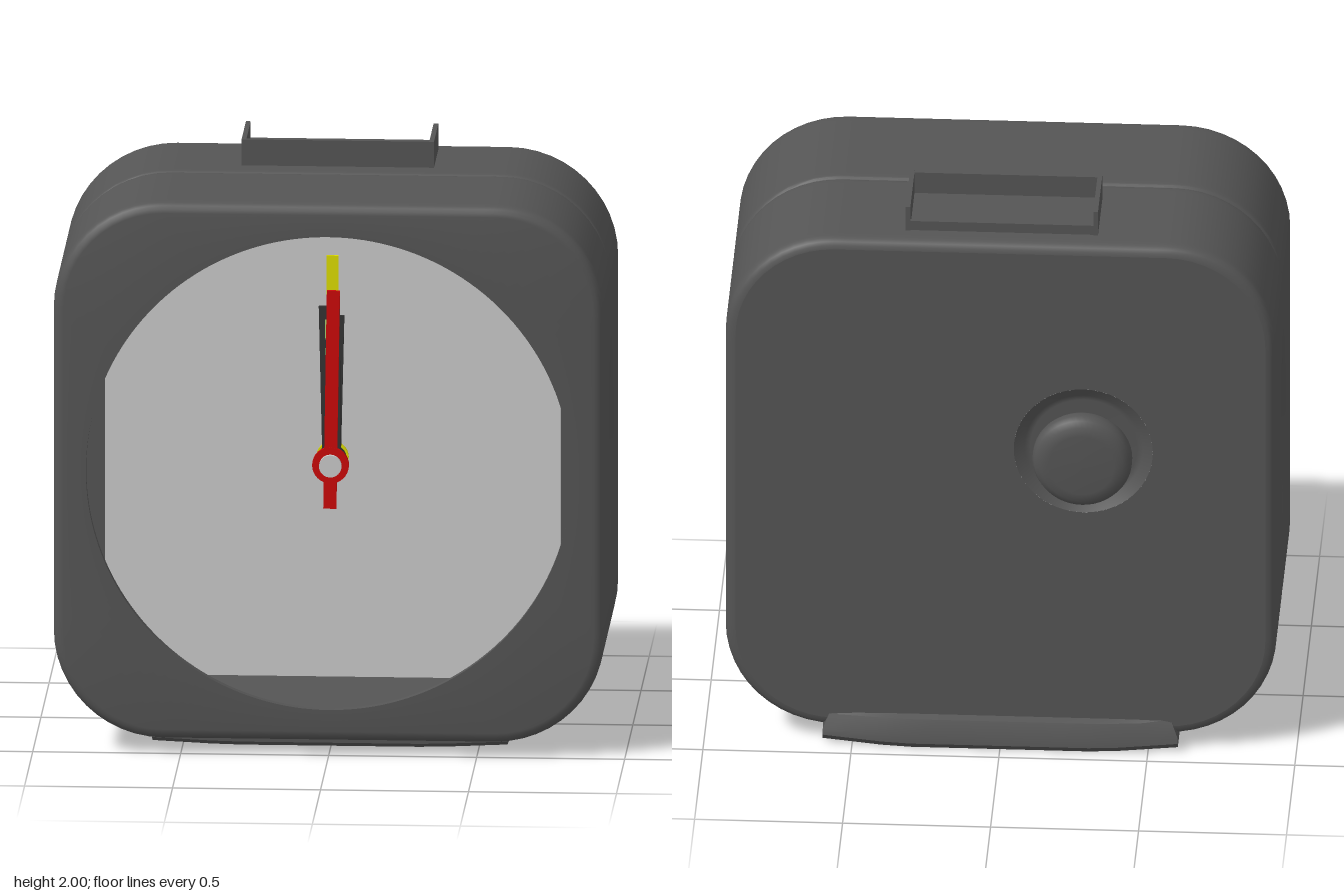
import * as THREE from 'three';
import { toCreasedNormals } from 'three/addons/utils/BufferGeometryUtils.js';
import { RoundedBoxGeometry } from 'three/addons/geometries/RoundedBoxGeometry.js';

const HALF = 0.93, RADIUS = 0.37, MID = 0.98, SEAM = 0.045, FILLET = 0.035;
const mat = (color) => new THREE.MeshStandardMaterial({ color });

// Rounded square, counter-clockwise, drawn in by an inset
function outline(inset = 0) {
  const c = HALF - RADIUS, r = RADIUS - inset, pts = [];
  for (let k = 0; k < 4; k++) {
    const a0 = k * Math.PI / 2, cos = Math.cos(a0), sin = Math.sin(a0);
    const add = (x, y) => pts.push(new THREE.Vector2(x * cos - y * sin, x * sin + y * cos));
    for (let i = 0; i < 32; i++) add(c + r, -c + 2 * c * i / 32);
    for (let i = 0; i < 12; i++) {
      const a = i / 12 * Math.PI / 2;
      add(c + r * Math.cos(a), c + r * Math.sin(a));
    }
  }
  return pts;
}

// Skin through rings [z, inset] or [z, 0, circleRadius]; finger scoops press into both sides
function skin(rings) {
  const pos = [], idx = [], n = outline().length;
  rings.forEach(([z, inset, circle], k) => {
    outline(inset).forEach((p, i) => {
      if (circle !== undefined) p.setLength(circle);
      const q = (p.y / 0.33) ** 2 + ((z - 0.055) / 0.12) ** 2;
      if (Math.abs(p.x) > 0.9 && q < 1) p.x -= Math.sign(p.x) * 0.035 * (1 - q);
      pos.push(p.x, p.y + MID, z);
      if (k > 0) {
        const j = (i + 1) % n, a = (k - 1) * n, b = k * n;
        idx.push(a + i, a + j, b + j, a + i, b + j, b + i);
      }
    });
  });
  const g = new THREE.BufferGeometry();
  g.setAttribute('position', new THREE.Float32BufferAttribute(pos, 3));
  g.setIndex(idx);
  return toCreasedNormals(g, 0.6);
}

// Rounded edge rings between two z values
function sideRings(z0, z1, f0, f1) {
  const rings = [];
  for (let i = 0; i <= 4; i++) {
    const a = i / 4 * Math.PI / 2;
    rings.push([z0 + f0 * (1 - Math.cos(a)), f0 * (1 - Math.sin(a))]);
  }
  for (let i = 1; i < 20; i++) rings.push([THREE.MathUtils.lerp(z0 + f0, z1 - f1, i / 20), 0]);
  for (let i = 0; i <= 4; i++) {
    const a = i / 4 * Math.PI / 2;
    rings.push([z1 - f1 * (1 - Math.sin(a)), f1 * (1 - Math.cos(a))]);
  }
  return rings;
}

export function createModel() {
  const model = new THREE.Group();
  const dark = mat(0x555555), black = mat(0x333333), red = mat(0xcc0808);
  const yellow = mat(0xdddd00), green = mat(0xa8d070), pale = mat(0xcccccc);
  const add = (name, geo, material, x = 0, y = 0, z = 0, parent = model) => {
    const m = new THREE.Mesh(geo, material);
    m.name = name;
    m.position.set(x, y, z);
    parent.add(m);
    return m;
  };
  const box = (name, w, h, d, material, x, y, z, parent) =>
    add(name, new THREE.BoxGeometry(w, h, d), material, x, y, z, parent);
  const disc = (name, r, d, material, x, y, z, parent) =>
    add(name, new THREE.CylinderGeometry(r, r, d, 32).rotateX(Math.PI / 2), material, x, y, z, parent);

  // Case halves, hollow inside, with a round opening at the front
  add('frontCase', skin([...sideRings(SEAM, 0.51, 0.018, FILLET),
    [0.51, 0, 0.82], [0.48, 0, 0.82], [0.48, 0.05], [SEAM, 0.05]]), dark);
  add('backCase', skin([[-0.35, 0, 0.001], [-0.35, 0.05], [SEAM, 0.05]].reverse()), dark);
  add('backCaseSides', skin(sideRings(-0.405, SEAM, FILLET, 0.018)), dark);

  // Back face with a dished hollow for the knob
  const back = new THREE.Shape(outline(FILLET));
  const hole = new THREE.Path();
  hole.absarc(0.28, 0.15, 0.235, 0, Math.PI * 2, true);
  back.holes.push(hole);
  add('backFace', new THREE.ShapeGeometry(back, 32).rotateY(Math.PI), dark, 0, MID, -0.405);
  const lathe = (pts) => new THREE.LatheGeometry(
    pts.map(([r, h]) => new THREE.Vector2(r, h)), 48).rotateX(-Math.PI / 2);
  const dish = add('knobHollow', lathe([[0, -0.03], [0.18, -0.03], [0.2, -0.022], [0.235, 0]]),
    dark, -0.28, 1.13, -0.405);
  dish.material = dark.clone();
  dish.material.side = THREE.DoubleSide;
  // Setting knob
  add('settingKnob', lathe([[0.1, -0.03], [0.1, 0.005], [0.135, 0.008], [0.158, 0.02], [0.168, 0.042],
    [0.168, 0.065], [0.16, 0.087], [0.14, 0.1], [0.11, 0.107], [0, 0.108]]), dark, -0.28, 1.13, -0.405);

  // Snooze button: tall front and end walls, low back and scooped floor
  const button = new THREE.Group();
  button.name = 'snoozeButton';
  model.add(button);
  box('buttonFront', 0.65, 0.12, 0.016, dark, 0, 1.94, -0.065, button);
  for (const s of [-1, 1]) box('buttonEnd', 0.016, 0.12, 0.265, dark, s * 0.317, 1.94, -0.1885, button);
  box('buttonBack', 0.62, 0.055, 0.016, dark, 0, 1.917, -0.309, button);
  box('buttonFloor', 0.62, 0.03, 0.24, dark, 0, 1.907, -0.19, button);

  // Base foot with a raised lip behind
  const foot = new THREE.Shape([[0.44, 0.06], [0.44, 0.03], [0.42, 0.015], [0.3, 0.005], [-0.44, 0],
    [-0.455, 0.02], [-0.45, 0.05], [-0.43, 0.1], [-0.4, 0.11], [-0.39, 0.06]]
    .map(([z, y]) => new THREE.Vector2(-z, y)));
  const footGeo = new THREE.ExtrudeGeometry(foot, { depth: 1.2, steps: 12, bevelEnabled: false });
  footGeo.translate(0, 0, -0.6).rotateY(Math.PI / 2);
  // draw the ends in slightly at the bottom and lip
  const fp = footGeo.attributes.position;
  for (let i = 0; i < fp.count; i++) {
    const e = Math.max(0, Math.abs(fp.getX(i)) - 0.35) / 0.25;
    if (fp.getY(i) < 0.03) fp.setY(i, fp.getY(i) + 0.012 * e);
    if (fp.getZ(i) < -0.42) fp.setZ(i, fp.getZ(i) + 0.025 * e);
    if (fp.getY(i) > 0.08) fp.setX(i, fp.getX(i) * 0.965);
  }
  add('baseFoot', toCreasedNormals(footGeo, 0.5), dark);

  // Dial plate
  box('dial', 1.54, 1.535, 0.02, pale, 0, 0.982, 0.24);

  // Hands, each pivoting at the dial centre
  const hand = (name, z, turn) => {
    const g = new THREE.Group();
    g.name = name;
    g.position.set(0, MID, z);
    g.rotation.z = turn;
    model.add(g);
    return g;
  };
  const taper = (w0, w1, len) => new THREE.ExtrudeGeometry(new THREE.Shape([[-w0, 0], [w0, 0], [w1, len], [-w1, len]]
    .map(([x, y]) => new THREE.Vector2(x, y))), { depth: 0.012, bevelEnabled: false });

  const alarm = hand('alarmHand', 0.27, 0);
  box('alarmBlade', 0.04, 0.7, 0.012, yellow, 0, 0.35, 0, alarm);
  disc('alarmHub', 0.055, 0.014, yellow, 0, 0, 0, alarm);

  [['hourHand', 0.295, 0.5, -0.012], ['minuteHand', 0.33, 0.54, 0.012]].forEach(([name, z, len, turn]) => {
    const g = hand(name, z, turn);
    add('handBlade', taper(0.03, 0.036, len), black, 0, 0, 0, g);
    disc('handHub', 0.05, 0.016, black, 0, 0, 0.006, g);
    for (const y of [0.36, 0.46]) box('handGlow', 0.03, 0.07, 0.004, green, 0, y, 0.013, g);
  });

  const second = hand('secondHand', 0.385, -0.016);
  box('secondBlade', 0.044, 0.755, 0.014, red, 0, 0.2275, 0, second);
  disc('secondHub', 0.062, 0.016, red, 0, 0, 0, second);
  disc('centrePin', 0.038, 0.165, pale, 0, MID, 0.325);

  return model;
}
